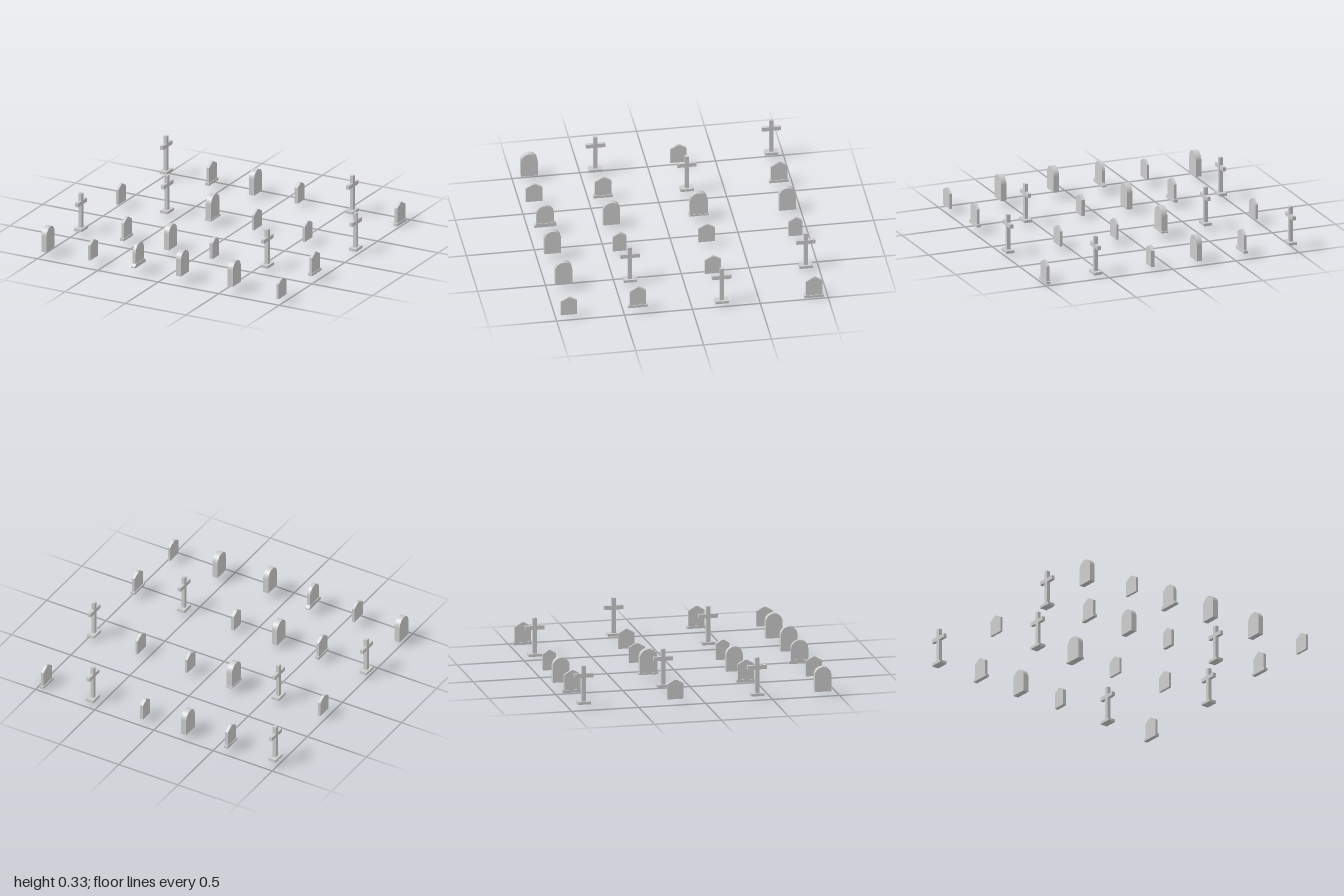
import * as THREE from 'three';

const stone = new THREE.MeshStandardMaterial({ color: 0xcccccc });

function mesh(name, geometry, y = 0) {
  const m = new THREE.Mesh(geometry, stone);
  m.name = name;
  m.position.y = y;
  return m;
}

const box = (name, x, y, z, bottom) =>
  mesh(name, new THREE.BoxGeometry(x, y, z), bottom + y / 2);

// Upright slab: outline lies in the z-y plane, thickness runs along x
function slab(name, shape, thickness, bottom = 0) {
  const g = new THREE.ExtrudeGeometry(shape, { depth: thickness, bevelEnabled: false, curveSegments: 20 });
  g.translate(0, 0, -thickness / 2).rotateY(Math.PI / 2);
  return mesh(name, g, bottom);
}

function gableShape(width, shoulder, peak) {
  const w = width / 2;
  return new THREE.Shape([[-w, 0], [w, 0], [w, shoulder], [w * 0.12, peak], [-w * 0.12, peak], [-w, shoulder]]
    .map(([x, y]) => new THREE.Vector2(x, y)));
}

function archShape(width, height) {
  const r = width / 2;
  const s = new THREE.Shape();
  s.moveTo(-r, 0);
  s.lineTo(r, 0);
  s.lineTo(r, height - r);
  s.absarc(0, height - r, r, 0, Math.PI, false);
  s.closePath();
  return s;
}

const makers = {
  cross: () => [
    box('crossBase', 0.06, 0.02, 0.098, 0),
    box('crossPost', 0.026, 0.265, 0.03, 0.02),
    box('crossBar', 0.025, 0.03, 0.142, 0.197),
  ],
  gabledOnPlinth: () => [
    box('plinth', 0.032, 0.02, 0.142, 0),
    slab('gabledSlab', gableShape(0.12, 0.115, 0.147), 0.022, 0.02),
  ],
  round: () => [slab('roundSlab', archShape(0.123, 0.185), 0.043)],
  roundOnPlinth: () => [
    box('plinth', 0.053, 0.012, 0.145, 0),
    slab('roundSlab', archShape(0.13, 0.178), 0.045, 0.012),
  ],
  flared: () => {
    // low plinth with sloping ends
    const foot = new THREE.Shape([[-0.082, 0], [0.082, 0], [0.082, 0.012], [0.066, 0.03], [-0.066, 0.03], [-0.082, 0.012]]
      .map(([x, y]) => new THREE.Vector2(x, y)));
    return [
      slab('flaredFoot', foot, 0.034),
      slab('roundSlab', archShape(0.128, 0.175), 0.026),
    ];
  },
  thin: () => [slab('thinSlab', gableShape(0.12, 0.115, 0.145), 0.018)],
  small: () => [slab('smallSlab', gableShape(0.1, 0.122, 0.15), 0.027)],
};

// kind, x, z, ground height
const layout = [
  ['cross', -0.97, -0.905, 0.045], ['gabledOnPlinth', -0.59, -0.9, 0.035], ['round', -0.228, -0.9, 0.022],
  ['small', 0.135, -0.9, 0.02], ['cross', 0.57, -0.905, 0.015], ['gabledOnPlinth', 0.967, -0.9, 0],

  ['thin', -0.97, -0.22, 0.04], ['cross', -0.59, -0.22, 0.035], ['roundOnPlinth', -0.228, -0.247, 0.042],
  ['thin', 0.14, -0.245, 0.035], ['thin', 0.573, -0.22, 0.03], ['cross', 0.97, -0.22, 0.025],

  ['cross', -0.97, 0.39, 0.03], ['gabledOnPlinth', -0.59, 0.397, 0.035], ['round', -0.228, 0.395, 0.027],
  ['small', 0.135, 0.395, 0.02], ['cross', 0.57, 0.39, 0.025], ['gabledOnPlinth', 0.967, 0.397, 0.045],

  ['round', -0.978, 0.878, 0.035], ['thin', -0.59, 0.905, 0.05], ['flared', -0.228, 0.883, 0.055],
  ['round', 0.14, 0.89, 0.055], ['round', 0.562, 0.878, 0.047], ['thin', 0.967, 0.905, 0.03],
];

export function createModel() {
  const model = new THREE.Group();
  model.name = 'gravestones';
  for (const [kind, x, z, y] of layout) {
    const marker = new THREE.Group();
    marker.name = `${kind}Gravestone`;
    marker.add(...makers[kind]());
    marker.position.set(x, y, z);
    model.add(marker);
  }
  return model;
}
